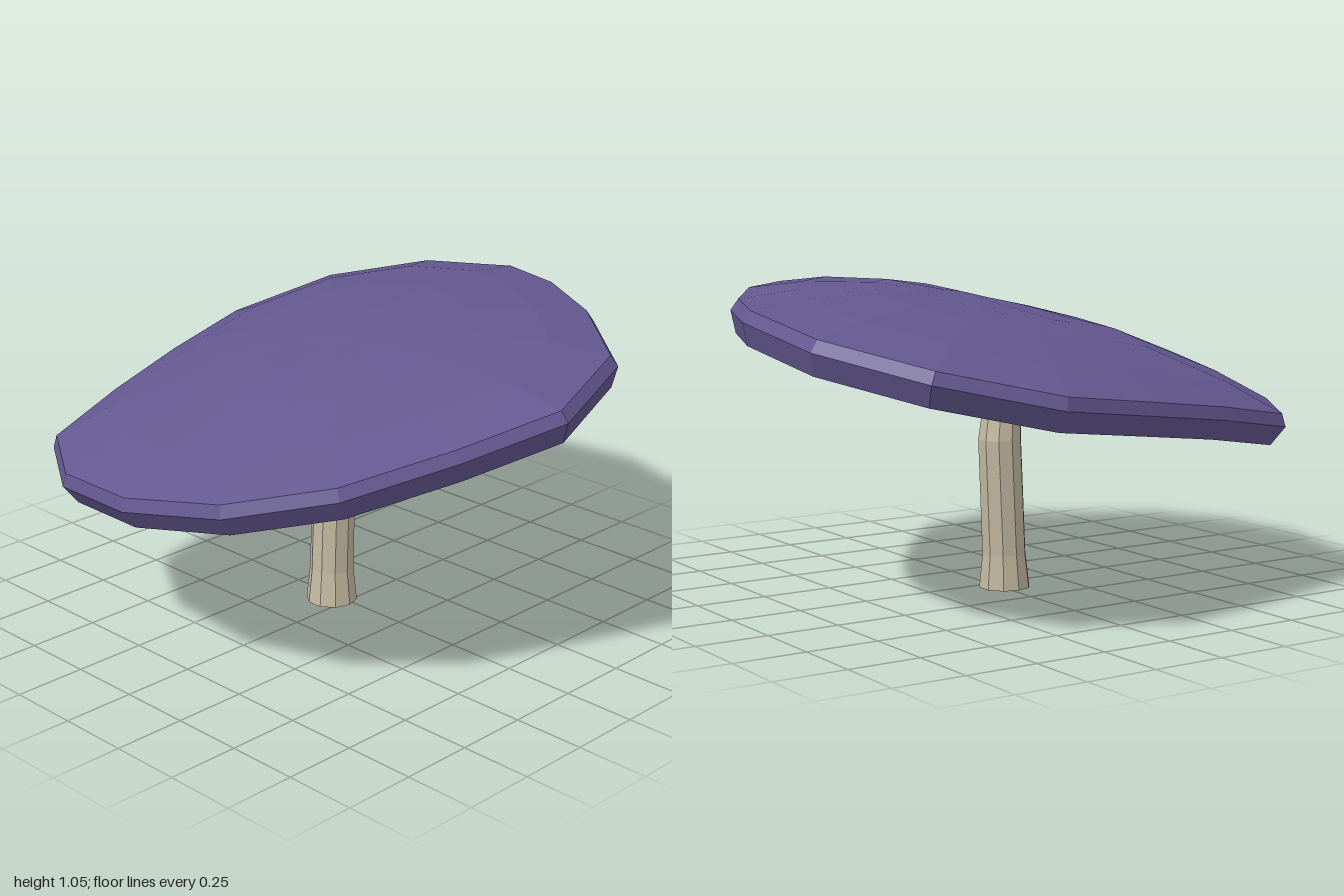
import * as THREE from 'three';

// Widest line of the cap: x, y, z for each corner
const RIM = [
  [0.98, 0.93, 0.03], [0.83, 0.845, 0.35], [0.65, 0.765, 0.69], [0.36, 0.69, 0.91],
  [-0.01, 0.63, 0.99], [-0.40, 0.585, 0.92], [-0.72, 0.58, 0.71], [-0.82, 0.64, 0.36],
  [-0.91, 0.69, 0], [-0.98, 0.74, -0.38], [-0.85, 0.83, -0.77], [-0.53, 0.91, -0.99],
  [-0.11, 0.97, -1], [0.17, 0.985, -0.9], [0.50, 0.995, -0.69], [0.85, 0.985, -0.38],
].map(p => new THREE.Vector3(...p));

const CENTRE = new THREE.Vector3(-0.02, 0.80, -0.02);
const AXIS = new THREE.Vector3(-0.1, 1, 0.18); // tilt of the cap

// Rim shrunk towards the centre, then moved along the tilted axis
const capRing = (scale, lift) =>
  RIM.map(p => CENTRE.clone().lerp(p, scale).addScaledVector(AXIS, lift));

// Skin between successive closed rings
function loft(rings) {
  const pos = [];
  const tri = (...pts) => pts.forEach(p => pos.push(p.x, p.y, p.z));
  for (let r = 0; r + 1 < rings.length; r++) {
    const a = rings[r], b = rings[r + 1], n = a.length;
    for (let i = 0; i < n; i++) {
      const j = (i + 1) % n;
      if (!a[i].equals(a[j])) tri(a[i], b[i], a[j]);
      if (!b[i].equals(b[j])) tri(a[j], b[i], b[j]);
    }
  }
  const geo = new THREE.BufferGeometry();
  geo.setAttribute('position', new THREE.Float32BufferAttribute(pos, 3));
  geo.computeVertexNormals();
  return geo;
}

function part(name, rings, color) {
  const mesh = new THREE.Mesh(loft(rings),
    new THREE.MeshStandardMaterial({ color, flatShading: true }));
  mesh.name = name;
  return mesh;
}

// Level ring of the stem
function stemRing(x, y, z, radius, sides = 10) {
  return Array.from({ length: sides }, (_, i) => {
    const t = (i / sides) * Math.PI * 2;
    return new THREE.Vector3(x + radius * Math.cos(t), y, z + radius * Math.sin(t));
  });
}

export function createModel() {
  const group = new THREE.Group();
  group.name = 'mushroom';
  const purple = 0x635890, cream = 0xc2b8a0;

  // Cap: lip, bevelled edge and shallow dome
  group.add(part('cap', [
    capRing(0.94, -0.065), capRing(0.965, -0.07), capRing(1, 0), capRing(0.98, 0.04),
    capRing(0.78, 0.10), capRing(0.5, 0.153), capRing(0.25, 0.173), capRing(0, 0.178),
  ], purple));

  // Underside, slightly hollow towards the stem
  group.add(part('capUnderside', [
    capRing(0, -0.035), capRing(0.94, -0.065),
  ], cream));

  // Stem: flared foot, slight bend, closed base
  group.add(part('stem', [
    stemRing(-0.06, 0, 0.02, 0), stemRing(-0.06, 0, 0.02, 0.09),
    stemRing(-0.065, 0.12, 0.015, 0.077), stemRing(-0.075, 0.52, -0.01, 0.076),
    stemRing(-0.07, 0.79, 0.013, 0.055), stemRing(-0.07, 0.79, 0.013, 0),
  ], cream));

  return group;
}
